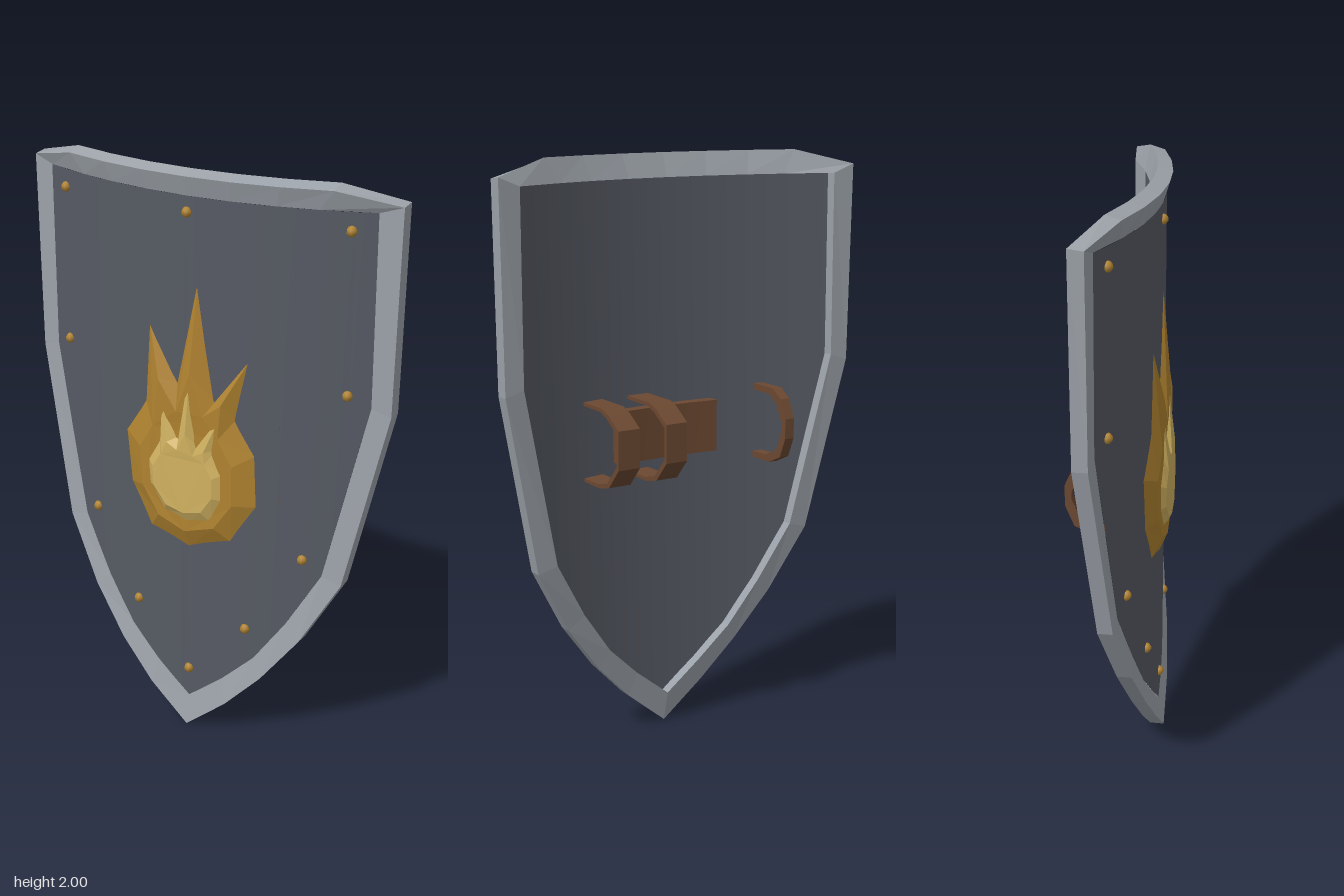
import * as THREE from 'three';

const mat = (name, color) => Object.assign(new THREE.MeshStandardMaterial({ color }), { name });

// The whole shield is bent back around a vertical axis
const bend = (x, z) => z - 0.335 * x * x;

function mesh(name, geometry, material, parent) {
  const m = new THREE.Mesh(geometry, material);
  m.name = name;
  parent.add(m);
  return m;
}

function facets(tris) {
  const g = new THREE.BufferGeometry();
  g.setAttribute('position', new THREE.Float32BufferAttribute(tris.flat(), 3));
  g.computeVertexNormals();
  return g;
}

const quad = (out, a, b, c, d) => out.push(a, b, c, a, c, d);

// Half outline from the tip up to the top centre: outer x, y, inner x, y
const HALF = [
  [0, 0, 0, 0.11], [0.15, 0.125, 0.13, 0.215], [0.28, 0.26, 0.245, 0.325],
  [0.41, 0.43, 0.355, 0.48], [0.54, 0.66, 0.47, 0.68], [0.668, 1.27, 0.602, 1.29],
  [0.676, 1.95, 0.6, 1.92], [0.48, 2, 0.43, 1.92], [0.32, 2, 0.3, 1.92],
  [0.16, 2, 0.15, 1.92], [0, 2, 0, 1.92],
];

function rimGeometry() {
  const mirrored = HALF.slice(1, -1).reverse().map(([ox, oy, ix, iy]) => [-ox, oy, -ix, iy]);
  const loop = [...HALF, ...mirrored];
  const sections = loop.map(([ox, oy, ix, iy]) => {
    const drop = oy > 1.99 ? 0.015 : oy > 1.9 ? 0.006 : 0;
    return [
      [ox, oy - drop, bend(ox, 0.14)],
      [ix, iy, bend(ix, 0.12)],
      [ix, iy, bend(ix, 0.064)],
      [ox, oy, bend(ox, 0.09)],
    ];
  });
  const tris = [];
  sections.forEach((a, i) => {
    const b = sections[(i + 1) % sections.length];
    for (let k = 0; k < 4; k++) {
      const n = (k + 1) % 4;
      quad(tris, a[k], b[k], b[n], a[n]);
    }
  });
  return facets(tris);
}

// Curved sheet made of vertical strips reaching down to the inner outline
function panelGeometry(z, facingBack) {
  const lower = HALF.slice(0, 6);
  const bottom = (x) => {
    const i = Math.max(1, lower.findIndex((p) => p[2] >= x - 1e-6));
    const [, , x0, y0] = lower[i - 1], [, , x1, y1] = lower[i];
    return y0 + ((x - x0) / (x1 - x0)) * (y1 - y0);
  };
  const half = lower.flatMap((p, i) => (i ? [(p[2] + lower[i - 1][2]) / 2, p[2]] : []));
  const xs = [...half.map((x) => -x).reverse(), 0, ...half];
  const pos = [], index = [];
  xs.forEach((x, i) => {
    pos.push(x, bottom(Math.abs(x)), bend(x, z), x, 1.92, bend(x, z));
    if (!i) return;
    const a = 2 * i - 2, b = 2 * i;
    if (facingBack) index.push(a, b + 1, b, a, a + 1, b + 1);
    else index.push(a, b, b + 1, a, b + 1, a + 1);
  });
  const g = new THREE.BufferGeometry();
  g.setAttribute('position', new THREE.Float32BufferAttribute(pos, 3));
  g.setIndex(index);
  g.computeVertexNormals();
  return g;
}

// Raised relief: rows of outline x, y and crest x, y, listed clockwise
function reliefGeometry(rows, zBase, zCrest) {
  const base = rows.map(([x, y]) => [x, y, bend(x, zBase)]);
  const crest = rows.map(([, , x, y]) => [x, y, bend(x, zCrest)]);
  const tris = [];
  base.forEach((p, i) => {
    const n = (i + 1) % base.length;
    quad(tris, base[n], p, crest[i], crest[n]);
  });
  const flat = crest.map(([x, y]) => new THREE.Vector2(x, y));
  for (const [a, b, c] of THREE.ShapeUtils.triangulateShape(flat, [])) {
    const ccw = flat[b].clone().sub(flat[a]).cross(flat[c].clone().sub(flat[a])) > 0;
    tris.push(crest[a], crest[ccw ? b : c], crest[ccw ? c : b]);
  }
  return facets(tris);
}

const FLAME = [
  [0.037, 1.645, 0.022, 1.34], [0.1, 1.25, 0.07, 1.2], [0.22, 1.41, 0.135, 1.25],
  [0.175, 1.2, 0.125, 1.13], [0.245, 1.085, 0.175, 1.04], [0.253, 0.9, 0.175, 0.9],
  [0.16, 0.755, 0.11, 0.805], [0, 0.7, 0, 0.77], [-0.155, 0.74, -0.105, 0.805],
  [-0.24, 0.885, -0.17, 0.9], [-0.26, 1.075, -0.18, 1.04], [-0.17, 1.205, -0.125, 1.13],
  [-0.15, 1.48, -0.1, 1.3], [-0.04, 1.295, -0.03, 1.2],
];
const CORE = [
  [0.02, 1.365, 0.012, 1.13], [0.045, 1.09, 0.04, 1.06], [0.137, 1.225, 0.08, 1.08],
  [0.115, 1.09, 0.085, 1.04], [0.15, 1.01, 0.11, 0.99], [0.148, 0.91, 0.11, 0.92],
  [0.1, 0.82, 0.07, 0.86], [0.005, 0.795, 0, 0.845], [-0.085, 0.825, -0.065, 0.86],
  [-0.147, 0.915, -0.115, 0.92], [-0.155, 1.01, -0.118, 0.99], [-0.1, 1.1, -0.085, 1.04],
  [-0.09, 1.25, -0.06, 1.09], [-0.025, 1.11, -0.02, 1.07],
];

// Bent strip with its side profile given as z, y points, extruded along x
function strapGeometry(path, width, t) {
  const mid = 1.065;
  const inner = path.map(([z, y], i) => [
    i === 0 || i === path.length - 1 ? z : z + t,
    y - Math.sign(y - mid) * t,
  ]);
  const shape = new THREE.Shape([...path, ...inner.reverse()].map((p) => new THREE.Vector2(...p)));
  const g = new THREE.ExtrudeGeometry(shape, { depth: width, bevelEnabled: false });
  return g.rotateY(-Math.PI / 2).translate(width / 2, 0, 0);
}

export function createModel() {
  const steel = mat('steel', 0x9ca2a9);
  const slate = mat('slate', 0x565a63);
  const gold = mat('gold', 0xb08330);
  const paleGold = mat('pale gold', 0xd0b160);
  const leather = mat('leather', 0x6b4831);
  const shield = new THREE.Group();
  shield.name = 'shield';

  mesh('rim', rimGeometry(), steel, shield);
  mesh('frontPanel', panelGeometry(0.12, false), slate, shield);
  mesh('backPanel', panelGeometry(0.1, true), slate, shield);

  // Flame emblem
  mesh('flame', reliefGeometry(FLAME, 0.118, 0.147), gold, shield);
  mesh('flameCore', reliefGeometry(CORE, 0.138, 0.161), paleGold, shield);

  // Rivets
  const rivetGeometry = new THREE.SphereGeometry(0.018, 7, 5);
  const rivets = [[0, 1.868], [0, 0.222], [0.525, 1.86], [0.53, 1.328], [0.406, 0.733], [0.215, 0.435]];
  for (const [x, y] of rivets) {
    for (const side of x ? [-1, 1] : [1]) {
      mesh('rivet', rivetGeometry, gold, shield).position.set(side * x, y, bend(x, 0.12));
    }
  }

  // Arm pad following the bend
  const pad = new THREE.BoxGeometry(0.39, 0.18, 0.04, 8, 1, 1).translate(0.005, 1.065, 0.078);
  const p = pad.attributes.position;
  for (let i = 0; i < p.count; i++) p.setZ(i, bend(p.getX(i), p.getZ(i)));
  pad.computeVertexNormals();
  mesh('armPad', pad, leather, shield);

  // Two arm straps and the hand grip
  const strap = strapGeometry(
    [[0.085, 1.2], [-0.06, 1.2], [-0.1, 1.185], [-0.163, 1.145], [-0.163, 1.015], [-0.1, 0.945], [-0.04, 0.93], [0.085, 0.93]],
    0.08, 0.012);
  for (const x of [0.105, 0.285]) mesh('armStrap', strap, leather, shield).position.x = x;
  const grip = strapGeometry(
    [[0.06, 1.195], [-0.06, 1.195], [-0.105, 1.165], [-0.135, 1.1], [-0.135, 1.03], [-0.105, 0.96], [-0.04, 0.93], [0.06, 0.93]],
    0.036, 0.022);
  mesh('handGrip', grip, leather, shield).position.x = -0.37;

  return shield;
}
